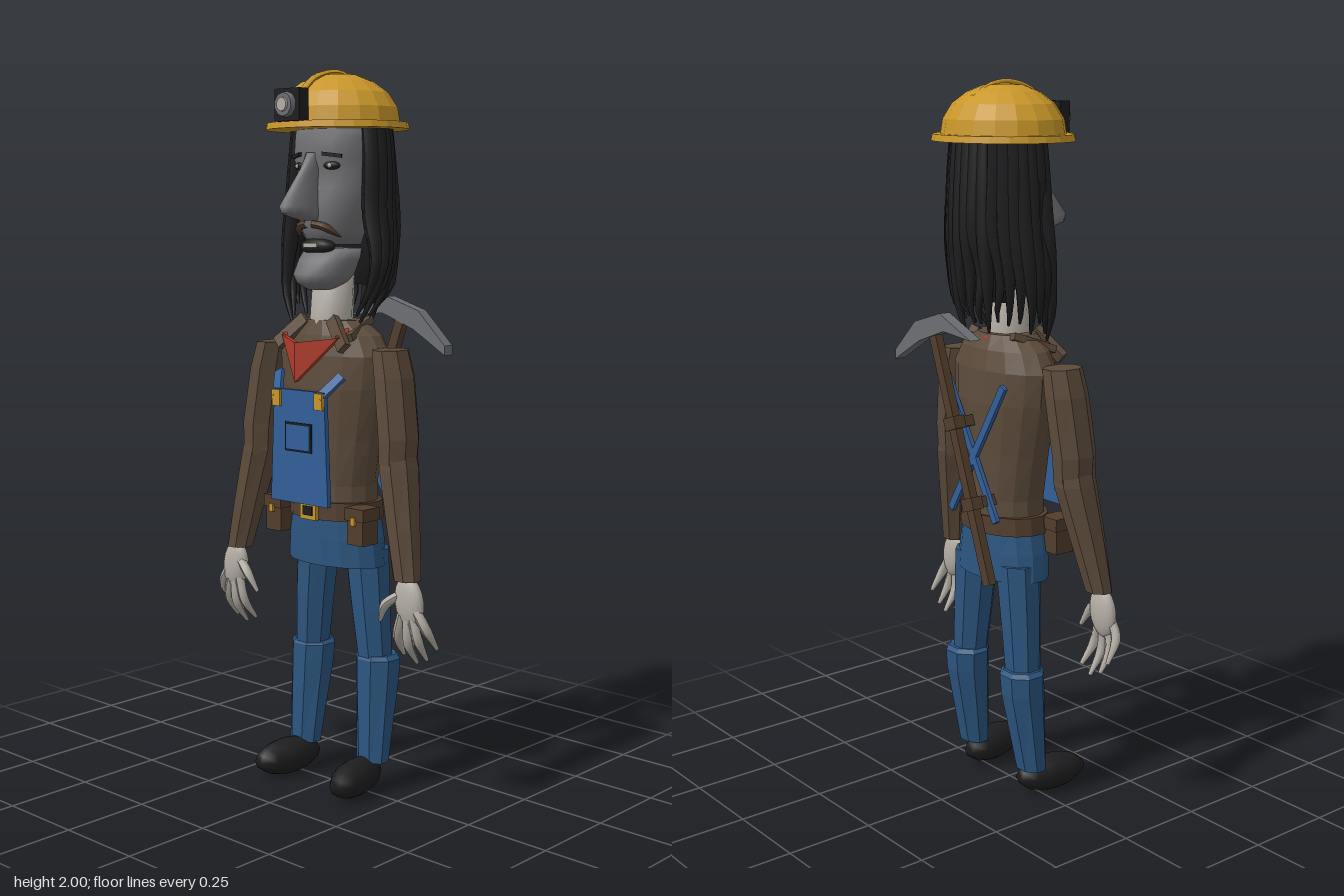
import * as THREE from 'three';

const mat = (name, color) => {
  const m = new THREE.MeshStandardMaterial({ color });
  m.name = name;
  return m;
};

export function createModel() {
  const root = new THREE.Group();
  root.name = 'miner';
  const yellow = mat('helmet yellow', 0xc9972a), shirt = mat('shirt brown', 0x5c4b3b);
  const leather = mat('leather brown', 0x523d2d), denim = mat('denim blue', 0x2c5680);
  const bibBlue = mat('bib blue', 0x325f9a), red = mat('kerchief red', 0xb03c2c);
  const skin = mat('pale skin', 0xb3ada4), face = mat('grey face', 0x717073);
  const black = mat('hair black', 0x1e1e20), steel = mat('steel grey', 0x6c6e72);
  const V = (p) => new THREE.Vector3(...p);

  const add = (name, geo, material, pos = [0, 0, 0], rot = [0, 0, 0]) => {
    const m = new THREE.Mesh(geo, material);
    m.name = name;
    m.position.set(...pos);
    m.rotation.set(...rot);
    root.add(m);
    return m;
  };
  const box = (name, material, size, pos, rot) => add(name, new THREE.BoxGeometry(...size), material, pos, rot);
  const ball = (name, material, size, pos, rot, w = 16, h = 10) =>
    add(name, new THREE.SphereGeometry(1, w, h), material, pos, rot).scale.set(...size);

  // closed skin over elliptical rings [x, y, z, rx, rz], listed bottom to top
  const loft = (name, material, rings, n = 8, flat = true) => {
    const pos = [], idx = [], k = rings.length;
    for (const [x, y, z, rx, rz] of rings)
      for (let j = 0; j < n; j++) {
        const t = ((j + 0.5) / n) * Math.PI * 2;
        pos.push(x + Math.cos(t) * rx, y, z + Math.sin(t) * rz);
      }
    for (const r of [rings[0], rings[k - 1]]) pos.push(r[0], r[1], r[2]);
    for (let j = 0; j < n; j++) {
      const q = (j + 1) % n;
      for (let i = 0; i < k - 1; i++) {
        const a = i * n + j, b = i * n + q;
        idx.push(a, a + n, b, b, a + n, b + n);
      }
      idx.push(k * n, j, q, k * n + 1, (k - 1) * n + q, (k - 1) * n + j);
    }
    let g = new THREE.BufferGeometry();
    g.setAttribute('position', new THREE.Float32BufferAttribute(pos, 3));
    g.setIndex(idx);
    if (flat) g = g.toNonIndexed();
    g.computeVertexNormals();
    return add(name, g, material);
  };

  // tube through points, narrowing towards its end
  const strand = (name, material, pts, r, tip = 0.15, from = 0.55, seg = 14) => {
    const curve = new THREE.CatmullRomCurve3(pts.map(V)), n = 7;
    const g = new THREE.TubeGeometry(curve, seg, r, n - 1), p = g.attributes.position, v = new THREE.Vector3();
    for (let i = 0; i < p.count; i++) {
      const u = Math.floor(i / n) / seg, c = curve.getPointAt(u);
      const s = u < from ? 1 : THREE.MathUtils.lerp(1, tip, (u - from) / (1 - from));
      v.fromBufferAttribute(p, i).sub(c).multiplyScalar(s).add(c);
      p.setXYZ(i, v.x, v.y, v.z);
    }
    g.computeVertexNormals();
    return add(name, g, material);
  };

  // straight box between two points
  const bar = (name, material, a, b, w, d) => {
    const A = V(a), B = V(b), dir = B.clone().sub(A);
    const m = box(name, material, [w, dir.length(), d], A.clone().add(B).multiplyScalar(0.5).toArray());
    m.quaternion.setFromUnitVectors(new THREE.Vector3(0, 1, 0), dir.normalize());
    return m;
  };
  const plate = (pts, depth) => new THREE.ExtrudeGeometry(
    new THREE.Shape(pts.map((p) => new THREE.Vector2(...p))), { depth, bevelEnabled: false });

  // helmet with brim, ridge and lamp
  const hz = -0.022;
  loft('helmetBrim', yellow, [[0, 1.838, hz, 0.207, 0.185], [0, 1.856, hz, 0.203, 0.181]], 24);
  loft('helmetDome', yellow, [[0, 1.85, hz, 0.183, 0.16], [0, 1.895, hz, 0.175, 0.153], [0, 1.935, hz, 0.148, 0.13],
    [0, 1.965, hz, 0.105, 0.092], [0, 1.983, hz, 0.058, 0.05], [0, 1.987, hz, 0.01, 0.01]], 18);
  strand('helmetRidge', yellow, [[0, 1.935, 0.112], [0, 1.97, 0.07], [0, 1.99, 0], [0, 1.986, -0.05], [0, 1.95, -0.125]], 0.009, 0.9);
  box('lampHousing', black, [0.09, 0.085, 0.035], [0, 1.897, 0.155]);
  const facing = [Math.PI / 2, 0, 0];
  add('lampRim', new THREE.CylinderGeometry(0.031, 0.035, 0.02, 10), steel, [0, 1.897, 0.178], facing);
  add('lampLens', new THREE.CylinderGeometry(0.018, 0.02, 0.012, 10), skin, [0, 1.897, 0.188], facing);

  // head, nose and jaw
  loft('head', face, [[0, 1.53, -0.035, 0.08, 0.1], [0, 1.57, -0.03, 0.098, 0.112], [0, 1.62, -0.03, 0.112, 0.118],
    [0, 1.68, -0.03, 0.124, 0.108], [0, 1.73, -0.03, 0.128, 0.1], [0, 1.76, -0.03, 0.13, 0.115],
    [0, 1.81, -0.03, 0.132, 0.108], [0, 1.86, -0.03, 0.13, 0.1]], 20, false);
  loft('nose', face, [[0, 1.595, 0.085, 0.024, 0.035], [0, 1.612, 0.122, 0.038, 0.066], [0, 1.632, 0.122, 0.034, 0.074],
    [0, 1.68, 0.1, 0.023, 0.06], [0, 1.73, 0.08, 0.018, 0.04], [0, 1.775, 0.07, 0.02, 0.022]], 12, false);
  loft('jaw', face, [[0, 1.408, 0.04, 0.035, 0.04], [0, 1.425, 0.04, 0.065, 0.07], [0, 1.45, 0.03, 0.08, 0.09],
    [0, 1.49, 0.01, 0.085, 0.085], [0, 1.52, -0.01, 0.085, 0.075]], 16, false);
  ball('mouth', black, [0.06, 0.024, 0.03], [0, 1.525, 0.055]);
  box('teeth', skin, [0.05, 0.012, 0.006], [0, 1.528, 0.084]);
  loft('neck', skin, [[0, 1.25, -0.005, 0.07, 0.07], [0, 1.32, 0, 0.06, 0.062], [0, 1.45, -0.01, 0.06, 0.058]], 10, false);
  for (const s of [-1, 1]) {
    ball('eye', black, [0.024, 0.011, 0.01], [s * 0.06, 1.74, 0.063], [0, s * 0.4, 0]);
    ball('eyeGlint', skin, [0.007, 0.006, 0.005], [s * 0.06, 1.74, 0.072]);
    box('brow', black, [0.055, 0.01, 0.012], [s * 0.065, 1.768, 0.068], [0, s * 0.45, -s * 0.12]);
    strand('moustache', leather, [[s * 0.01, 1.585, 0.085], [s * 0.045, 1.578, 0.078], [s * 0.078, 1.55, 0.045]], 0.011);
  }

  // hair: back mass and hanging strands
  let seed = 7;
  const rnd = () => (seed = (seed * 16807) % 2147483647) / 2147483647;
  loft('hairMass', black, [[0, 1.42, -0.085, 0.1, 0.035], [0, 1.55, -0.08, 0.15, 0.06], [0, 1.7, -0.07, 0.145, 0.07],
    [0, 1.86, -0.06, 0.14, 0.08]], 16, false);
  for (let i = 0; i < 19; i++) {
    const a = (i / 18 - 0.5) * 3.7, sx = Math.sin(a), cz = -Math.cos(a), side = Math.abs(sx) ** 4;
    const end = 1.31 + rnd() * 0.07, w = (rnd() - 0.5) * 0.025;
    const at = (y, rx, rz, f = 0) => [sx * rx, y, -0.035 + cz * rz + f * side];
    strand('hairStrand', black, [at(1.88, 0.13, 0.09), at(1.75, 0.145, 0.1), at(1.62, 0.15 + w, 0.105),
      at(1.49, 0.17, 0.1 + w, 0.01), at(1.4, 0.158 + w, 0.1, 0.025), at(end, 0.125, 0.085, 0.05)], 0.026);
  }

  // shirt, hips and collar
  loft('shirt', shirt, [[0, 0.78, -0.02, 0.132, 0.1], [0, 0.87, -0.02, 0.128, 0.098], [0, 1, -0.018, 0.15, 0.1],
    [0, 1.14, -0.016, 0.18, 0.106], [0, 1.23, -0.016, 0.188, 0.1], [0, 1.285, -0.015, 0.155, 0.088],
    [0, 1.325, -0.01, 0.095, 0.07]], 16);
  loft('overallsSeat', denim, [[0, 0.645, -0.025, 0.163, 0.1], [0, 0.72, -0.022, 0.155, 0.1], [0, 0.8, -0.02, 0.138, 0.1]], 16);
  loft('belt', leather, [[0, 0.776, -0.02, 0.15, 0.108], [0, 0.826, -0.02, 0.145, 0.106]], 16);
  box('buckleFrame', yellow, [0.06, 0.05, 0.012], [0, 0.8, 0.09]);
  box('buckleCentre', black, [0.034, 0.026, 0.006], [0, 0.8, 0.096]);

  // bib, pocket and kerchief
  add('bib', plate([[-0.108, 0.825], [0.108, 0.825], [0.094, 1.137], [-0.094, 1.137]], 0.014), bibBlue, [0, 0, 0.117]);
  box('pocketEdge', black, [0.1, 0.08, 0.004], [0, 1.008, 0.132]);
  box('bibPocket', bibBlue, [0.09, 0.07, 0.008], [0, 1.008, 0.133]);
  const scarf = plate([[-0.105, 1.282], [0, 1.16], [0.105, 1.282], [0, 1.268]], 0.014);
  const sp = scarf.attributes.position;
  for (let i = 0; i < sp.count; i++) sp.setZ(i, sp.getZ(i) - Math.abs(sp.getX(i)) * 0.55);
  scarf.computeVertexNormals();
  add('kerchief', scarf, red, [0, 0, 0.133]);
  strand('kerchiefBand', red, [[-0.1, 1.275, 0.085], [-0.085, 1.3, 0.02], [0, 1.31, -0.078], [0.085, 1.3, 0.02], [0.1, 1.275, 0.085]], 0.012, 1);

  for (const s of [-1, 1]) {
    // collar flap, straps and buckles
    bar('collarFlap', shirt, [s * 0.125, 1.255, 0.085], [s * 0.05, 1.328, 0.05], 0.035, 0.02);
    bar('collarSide', shirt, [s * 0.115, 1.28, 0.06], [s * 0.085, 1.325, -0.06], 0.03, 0.02);
    bar('frontStrap', bibBlue, [s * 0.078, 1.12, 0.134], [s * 0.118, 1.18, 0.085], 0.028, 0.012);
    box('strapBuckle', yellow, [0.03, 0.045, 0.008], [s * 0.08, 1.112, 0.136]);
    bar('backStrap', bibBlue, [-s * 0.1, 0.82, -0.128], [s * 0.125, 1.2, -0.122], 0.022, 0.012);

    // belt pouch
    box('pouch', leather, [0.058, 0.085, 0.06], [s * 0.156, 0.763, 0.045]);
    box('pouchFlap', leather, [0.068, 0.035, 0.07], [s * 0.156, 0.805, 0.045]);
    box('pouchStud', yellow, [0.014, 0.022, 0.008], [s * 0.156, 0.787, 0.082]);

    // sleeves
    loft('upperSleeve', shirt, [[s * 0.258, 0.93, 0.015, 0.046, 0.062], [s * 0.258, 1.02, 0.013, 0.052, 0.066],
      [s * 0.235, 1.18, 0.005, 0.05, 0.066], [s * 0.218, 1.253, 0.003, 0.045, 0.06]]);
    loft('forearmSleeve', shirt, [[s * 0.322, 0.648, 0.05, 0.04, 0.037], [s * 0.295, 0.78, 0.035, 0.046, 0.05],
      [s * 0.262, 0.94, 0.015, 0.052, 0.064], [s * 0.256, 0.99, 0.013, 0.046, 0.058]]);

    // hand
    ball('palm', skin, [0.047, 0.072, 0.024], [s * 0.334, 0.59, 0.055], [0, 0, s * 0.15]);
    const fingers = [
      [[0.36, 0.575, 0.06], [0.388, 0.53, 0.055], [0.398, 0.465, 0.015]],
      [[0.35, 0.55, 0.06], [0.364, 0.49, 0.055], [0.366, 0.43, 0.018]],
      [[0.333, 0.545, 0.06], [0.331, 0.48, 0.055], [0.33, 0.415, 0.014]],
      [[0.314, 0.555, 0.06], [0.297, 0.49, 0.058], [0.288, 0.433, 0.02]],
      [[0.312, 0.61, 0.058], [0.265, 0.575, 0.072], [0.237, 0.525, 0.062]],
    ];
    for (const f of fingers) strand('finger', skin, f.map(([x, y, z]) => [s * x, y, z]), 0.014, 0.4, 0.5, 8);

    // trouser leg and boot
    loft('thigh', denim, [[s * 0.122, 0.36, -0.05, 0.05, 0.05], [s * 0.108, 0.52, -0.046, 0.058, 0.058],
      [s * 0.092, 0.69, -0.045, 0.066, 0.064]]);
    loft('shin', denim, [[s * 0.132, 0.085, -0.028, 0.05, 0.04], [s * 0.126, 0.32, -0.054, 0.064, 0.063],
      [s * 0.125, 0.378, -0.057, 0.067, 0.064], [s * 0.125, 0.39, -0.056, 0.055, 0.055]]);
    ball('boot', black, [0.05, 0.052, 0.112], [s * 0.133, 0.052, 0.044], [0, s * 0.15, 0], 10, 8);
  }

  // pickaxe slung on the back
  const hilt = [-0.13, 0.66, -0.175], top = [0.115, 1.345, -0.175];
  bar('pickHandle', leather, hilt, top, 0.03, 0.024);
  for (const t of [0.31, 0.62]) {
    const c = V(hilt).lerp(V(top), t);
    box('pickHolder', leather, [0.05, 0.035, 0.036], c.toArray(), [0, 0, -0.34]);
    box('pickHolderTab', leather, [0.025, 0.03, 0.08], [c.x, c.y, -0.14], [0, 0, -0.34]);
  }
  add('pickHead', plate([[-0.17, -0.06], [-0.06, -0.01], [0.06, -0.01], [0.19, -0.035], [0.18, -0.01],
    [0.06, 0.045], [-0.06, 0.04]], 0.034), steel, [0.105, 1.325, -0.194], [0, 0, -0.34]);
  return root;
}
